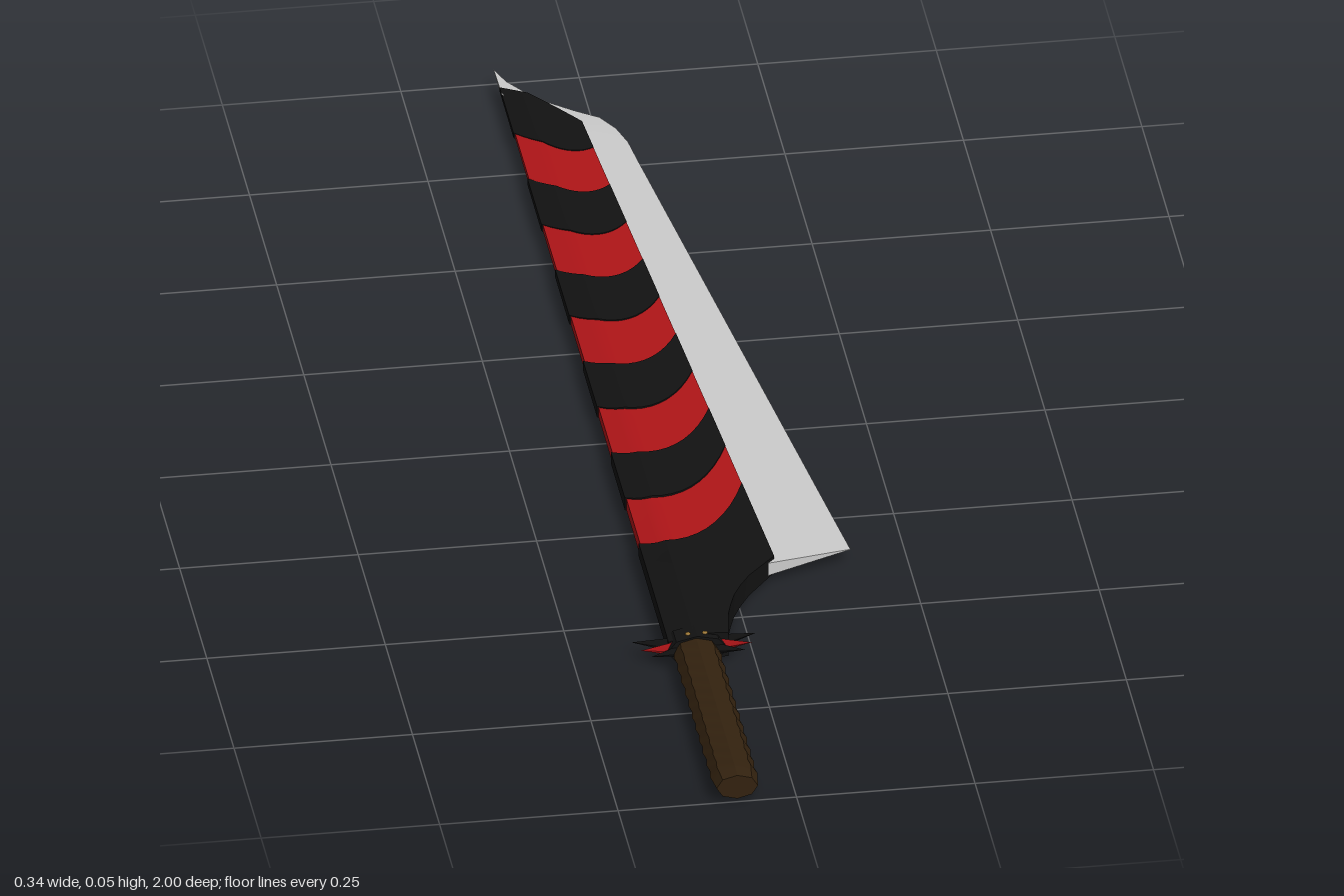
import * as THREE from 'three';
import { toCreasedNormals } from 'three/addons/utils/BufferGeometryUtils.js';

const MID = 0.0235; // height of the blade's centre plane
const SPINE = -0.12, RIDGE = -0.085;
const lerp = THREE.MathUtils.lerp;
const paint = (color) => new THREE.MeshStandardMaterial({ color });
const black = paint(0x121212), red = paint(0xb01518), steel = paint(0xcccccc);
const brown = paint(0x33220f), gold = paint(0x9a7430);

// Piecewise linear curve through [input, output] pairs
function along(pairs, v) {
  if (v <= pairs[0][0]) return pairs[0][1];
  for (let i = 1; i < pairs.length; i++) {
    const [a, p] = pairs[i - 1], [b, q] = pairs[i];
    if (v <= b) return lerp(p, q, (v - a) / (b - a));
  }
  return pairs[pairs.length - 1][1];
}

// Skin over closed rings; each row lists [x, z, halfThickness] from left to right
function loft(rows) {
  const pos = [], index = [], n = rows[0].length * 2;
  for (const row of rows) {
    for (const [x, z, h] of row) pos.push(x, MID + h, z);
    for (const [x, z, h] of [...row].reverse()) pos.push(x, MID - h, z);
  }
  for (let i = 0; i < rows.length - 1; i++) {
    for (let j = 0; j < n; j++) {
      const a = i * n + j, b = i * n + (j + 1) % n;
      index.push(a, b, a + n, b, b + n, a + n);
    }
  }
  const g = new THREE.BufferGeometry();
  g.setAttribute('position', new THREE.Float32BufferAttribute(pos, 3));
  g.setIndex(index);
  return toCreasedNormals(g, 0.35);
}

// Close a loft by pinching both end rows to the centre plane
function capped(rows) {
  const flat = (row) => row.map(([x, z]) => [x, z, 0]);
  return loft([flat(rows[0]), ...rows, flat(rows[rows.length - 1])]);
}

function add(parent, name, geometry, material) {
  const mesh = new THREE.Mesh(geometry, material);
  mesh.name = name;
  parent.add(mesh);
  return mesh;
}

// Right border of the striped body at depth z
const border = (z) => along([[-0.83, -0.022], [0.41, 0.06], [0.43, 0.036], [0.46, 0.012],
  [0.5, -0.01], [0.55, -0.027], [0.61, -0.036]], z);
const thin = (z) => along([[-0.95, 0.3], [0.42, 1], [0.61, 0.93]], z);
const section = (x) => along([[SPINE, 0.011], [RIDGE, 0.0235], [0.06, 0.0135]], x);

// Wavy stripe edge: base depth, bend in the middle, bend at the right
function stripeEdge(k) {
  if (k < 0) return [0.61, 0, 0];
  if (k > 9) return [-0.945, 0.055, 0.115];
  return [0.335 - 0.128 * k, lerp(0, 0.06, k / 9), lerp(-0.14, 0.06, k / 9)];
}
const edgeZ = ([base, m, r], f) => base + f * (4 * m - r) + f * f * (2 * r - 4 * m);

function stripe(k, raised) {
  const rows = [], from = stripeEdge(k - 1), to = stripeEdge(k);
  const steps = k === 0 ? 16 : 6, cols = 12;
  for (let i = 0; i <= steps; i++) {
    const row = [];
    for (let j = 0; j <= cols; j++) {
      const f = j / cols;
      const z = lerp(edgeZ(from, f), edgeZ(to, f), i / steps);
      const left = raised ? SPINE : SPINE + 0.002;
      const x = f <= 0.25 ? lerp(left, RIDGE, f * 4) : lerp(RIDGE, border(z), (f - 0.25) / 0.75);
      row.push([x, z, section(x) * thin(z) * (raised ? 1 : 0.86)]);
    }
    rows.push(row);
  }
  return capped(rows);
}

// Steel cutting edge: inner and outer border from heel to tip, [xi, zi, xo, zo]
function cuttingEdge() {
  const pairs = [[0.05, 0.415, 0.17, 0.378], [0.04, 0.3, 0.157, 0.27], [-0.028, -0.72, 0.04, -0.72],
    [-0.03, -0.77, 0.034, -0.775], [-0.032, -0.8, 0.023, -0.815], [-0.036, -0.825, 0.005, -0.848],
    [-0.05, -0.835, -0.025, -0.87], [-0.07, -0.86, -0.06, -0.9], [-0.095, -0.89, -0.09, -0.937],
    [-0.11, -0.91, -0.108, -0.965], [SPINE, -0.925, SPINE, -1]];
  return capped(pairs.map(([xi, zi, xo, zo]) => [0, 0.5, 1].map((t) => {
    const z = lerp(zi, zo, t);
    return [lerp(xi, xo, t), z, lerp(0.0098 * lerp(0.35, 1, (z + 1) / 1.4), 0.0003, t)];
  })));
}

// Flat four-sided spike starting at (x, z) in the guard, swung about y
function spike(length, width, thick, x, z, angle) {
  const g = new THREE.ConeGeometry(1, 1, 4).translate(0, 0.5, 0).rotateZ(-Math.PI / 2);
  return g.scale(length, thick, width).rotateY(angle).translate(x, 0, z).toNonIndexed();
}

export function createModel() {
  const model = new THREE.Group();
  model.name = 'broadSword';

  // Striped blade body, black bands standing proud of the red ones
  const body = new THREE.Group();
  body.name = 'bladeBody';
  model.add(body);
  for (let k = 0; k <= 10; k++) {
    const dark = k % 2 === 0;
    add(body, dark ? 'blackStripe' : 'redStripe', stripe(k, dark), dark ? black : red);
  }
  add(model, 'cuttingEdge', cuttingEdge(), steel);

  // Wrapped grip with shallow ridges
  const profile = [new THREE.Vector2(0, 0)];
  for (let i = 0; i <= 24; i++) {
    const r = i === 24 ? 0.029 : i % 2 ? 0.031 : 0.0335;
    profile.push(new THREE.Vector2(r, 0.395 * i / 24));
  }
  profile.push(new THREE.Vector2(0, 0.395));
  const gripShape = new THREE.LatheGeometry(profile, 8).rotateX(Math.PI / 2).scale(1, 0.64, 1);
  const grip = add(model, 'grip', toCreasedNormals(gripShape, 0.3), brown);
  grip.position.set(-0.083, MID, 0.605);

  // Guard: collar, mirrored spikes and small studs
  const guard = new THREE.Group();
  guard.name = 'guard';
  guard.position.set(-0.081, MID, 0.605);
  model.add(guard);
  const collar = new THREE.CylinderGeometry(0.042, 0.042, 0.032, 8).rotateX(Math.PI / 2).scale(1, 0.54, 1);
  add(guard, 'collar', toCreasedNormals(collar, 0.3), black);
  for (let side = 0; side < 2; side++) {
    const wing = new THREE.Group();
    wing.name = side ? 'rightWing' : 'leftWing';
    wing.rotation.z = side * Math.PI;
    guard.add(wing);
    add(wing, 'upperSpike', spike(0.075, 0.014, 0.015, 0.015, 0, 0.27), black);
    add(wing, 'middleSpike', spike(0.062, 0.012, 0.014, 0.016, 0.006, 0.02), red);
    add(wing, 'lowerSpike', spike(0.055, 0.012, 0.012, 0.012, 0.01, -0.25), black);
    for (const x of [-0.012, 0.012]) {
      const stud = add(wing, 'stud', new THREE.SphereGeometry(0.004, 8, 6), gold);
      stud.scale.y = 0.5;
      stud.position.set(x, 0.0208, 0.004);
    }
  }
  return model;
}
